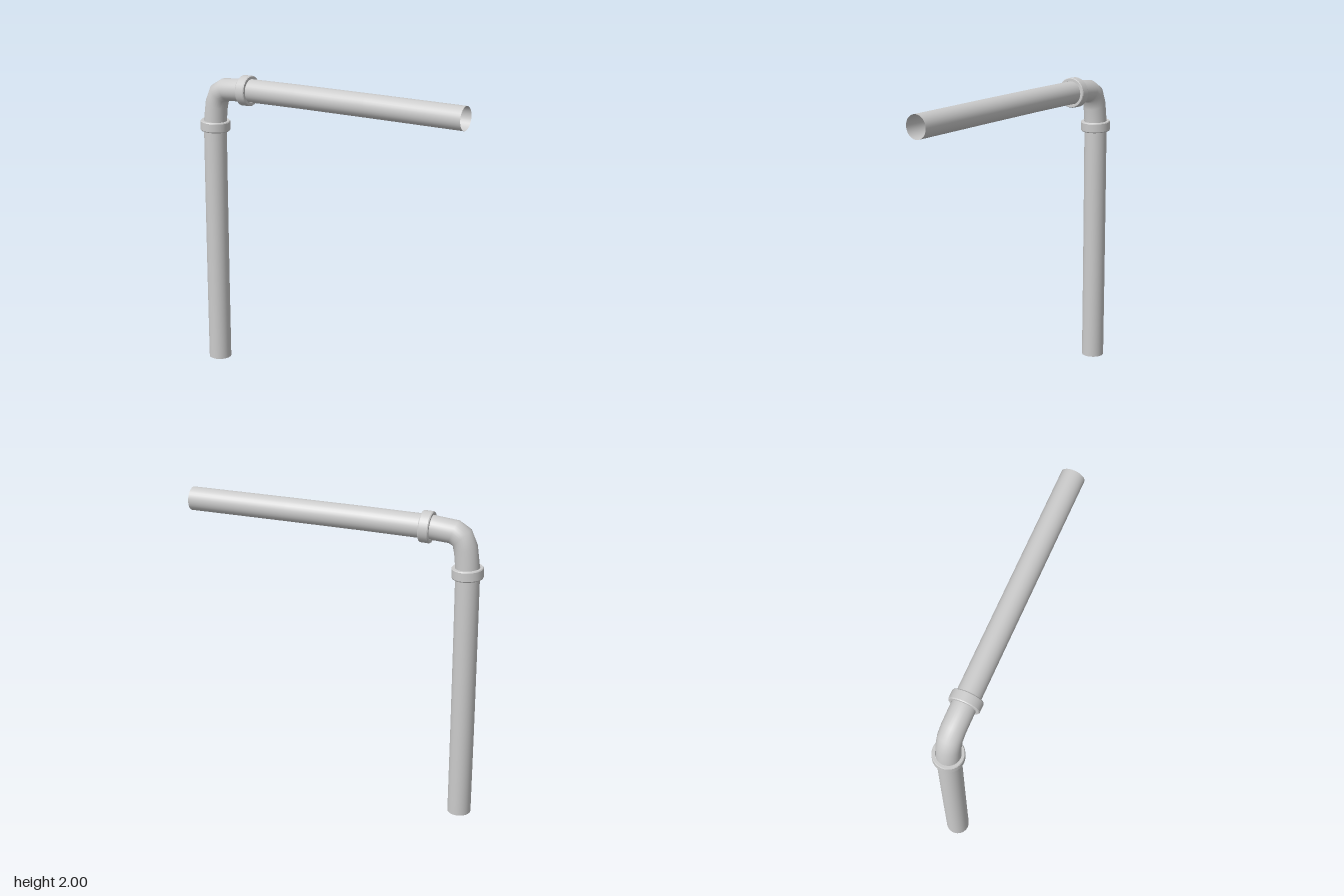
import * as THREE from 'three';

const SIDES = 32;
const PIPE_R = 0.075;

// Each station of the pipe: centre x, centre y, and tilt of its axis from vertical (degrees)
const stations = [
  [-0.87, 0, 0], [-0.869, 0.6, 0], [-0.866, 1.2, 0.5], [-0.863, 1.6, 1.5], [-0.86, 1.68, 3],
  [-0.846, 1.79, 22], [-0.82, 1.86, 45], [-0.77, 1.89, 70],
  [-0.64, 1.901, 87], [-0.56, 1.904, 88.5], [-0.2, 1.908, 89.5], [0.3, 1.91, 90], [0.957, 1.911, 90],
];

// Open tube skinned over the tilted rings
function pipeGeometry() {
  const positions = [], index = [];
  stations.forEach(([cx, cy, deg], i) => {
    const a = THREE.MathUtils.degToRad(deg);
    for (let j = 0; j < SIDES; j++) {
      const t = (j / SIDES) * Math.PI * 2;
      const u = Math.cos(t) * PIPE_R;
      positions.push(cx - u * Math.cos(a), cy + u * Math.sin(a), Math.sin(t) * PIPE_R);
      if (i === 0) continue;
      const k = (j + 1) % SIDES, lo = (i - 1) * SIDES, hi = i * SIDES;
      index.push(lo + j, lo + k, hi + k, lo + j, hi + k, hi + j);
    }
  });
  const g = new THREE.BufferGeometry();
  g.setAttribute('position', new THREE.Float32BufferAttribute(positions, 3));
  g.setIndex(index);
  g.computeVertexNormals();
  return g;
}

// Hollow sleeve with slightly bevelled rims, made of separate bands to keep its edges sharp
function collar(name, x, y, tilt, material) {
  const profile = [
    [0.077, -0.033], [0.094, -0.033], [0.098, -0.027], [0.098, 0.027],
    [0.094, 0.033], [0.077, 0.033], [0.077, -0.033],
  ].map(([r, h]) => new THREE.Vector2(r, h));
  const group = new THREE.Group();
  group.name = name;
  for (let i = 0; i < profile.length - 1; i++) {
    const band = new THREE.Mesh(new THREE.LatheGeometry([profile[i], profile[i + 1]], SIDES), material);
    band.name = name + 'Band';
    group.add(band);
  }
  group.position.set(x, y, 0);
  group.rotation.z = -THREE.MathUtils.degToRad(tilt);
  return group;
}

export function createModel() {
  const model = new THREE.Group();
  model.name = 'bentPipe';
  const material = new THREE.MeshStandardMaterial({ color: 0xcccccc, side: THREE.DoubleSide });

  const pipe = new THREE.Mesh(pipeGeometry(), material);
  pipe.name = 'pipe';
  model.add(pipe);

  // Joint collars on both sides of the elbow
  model.add(collar('lowerCollar', -0.862, 1.643, 2.5, material));
  model.add(collar('upperCollar', -0.6, 1.902, 88, material));
  return model;
}
